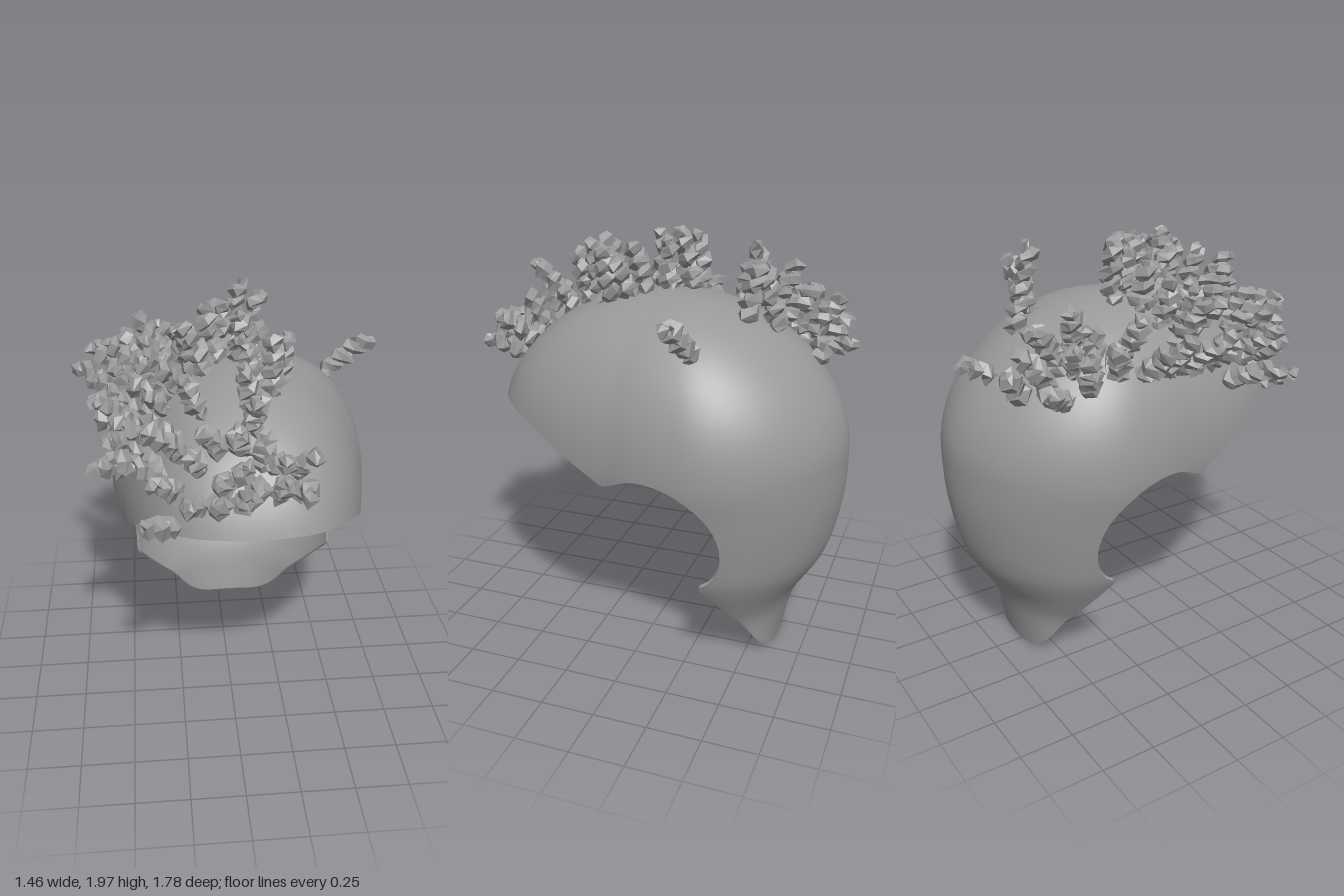
import * as THREE from 'three';

const MID = 0.07; // the head's middle plane
const CORE = new THREE.Vector3(0, 0.9, -0.1); // centre that rays are cast from

// Lower head, per height: half width, back z, widest z
const LEVELS = [0, 0.05, 0.2, 0.3, 0.4, 0.48, 0.6, 0.8, 1];
const WIDTH = [0.31, 0.31, 0.36, 0.425, 0.488, 0.53, 0.565, 0.605, 0.633];
const BACK = [-0.615, -0.625, -0.66, -0.7, -0.765, -0.81, -0.85, -0.885, -0.89];
const WIDEST = [-0.5, -0.48, -0.42, -0.385, -0.35, -0.325, -0.3, -0.29, -0.29];

// Smooth interpolation of a table over LEVELS
function smooth(table, y) {
  const n = LEVELS.length - 1;
  y = Math.min(Math.max(y, 0), 1);
  let k = 0;
  while (k < n - 1 && y > LEVELS[k + 1]) k++;
  const slope = (i) => {
    if (i === n) return 0;
    const a = Math.max(i - 1, 0), b = i + 1;
    return (table[b] - table[a]) / (LEVELS[b] - LEVELS[a]);
  };
  const h = LEVELS[k + 1] - LEVELS[k], t = (y - LEVELS[k]) / h, t2 = t * t, t3 = t2 * t;
  return (2 * t3 - 3 * t2 + 1) * table[k] + (t3 - 2 * t2 + t) * h * slope(k)
    + (3 * t2 - 2 * t3) * table[k + 1] + (t3 - t2) * h * slope(k + 1);
}

const arc = (t, p) => (t >= 1 ? 0 : Math.pow(1 - Math.pow(t, p), 1 / p));

// Half width of the head at a height and depth: tapered front, rounded back
function halfWidth(y, z) {
  let w, back, wide, front = 0.78;
  if (y > 1) {
    const t = (y - 1) / 0.69;
    if (t >= 1) return 0;
    const s = arc(t, 2.1);
    w = 0.633 * s;
    front = -0.05 + 0.83 * s;
    back = -0.05 - 0.84 * arc(t, 1.9);
    wide = -0.05 - 0.24 * s;
  } else {
    w = smooth(WIDTH, y);
    back = smooth(BACK, y);
    wide = smooth(WIDEST, y);
  }
  if (z <= wide) return w * arc((wide - z) / (wide - back), 1.85);
  const f = (z - wide) / (front - wide);
  return w * (1 - 0.2 * f * Math.min(1, f * 3)) * arc(f, 3);
}

// Point of the head's surface along a direction from CORE
function surfacePoint(dir) {
  let lo = 0, hi = 1.6;
  const p = new THREE.Vector3();
  for (let k = 0; k < 36; k++) {
    const r = (lo + hi) / 2;
    p.copy(dir).multiplyScalar(r).add(CORE);
    if (Math.abs(p.x) < halfWidth(p.y, p.z)) lo = r;
    else hi = r;
  }
  return p;
}

// Rim as seen from the side: brow, temple, ear arch, nape (y, z)
const RIM = [[1.185, 0.71], [1.17, 0.65], [1.15, 0.58], [1.13, 0.5], [1.08, 0.4], [1.02, 0.27], [0.96, 0.15], [0.93, 0.09],
  [0.945, 0.04], [0.98, -0.04], [0.99, -0.12], [0.97, -0.23], [0.92, -0.32], [0.85, -0.39], [0.76, -0.435],
  [0.66, -0.45], [0.57, -0.435], [0.51, -0.4], [0.47, -0.35], [0.41, -0.385], [0.3, -0.45], [0.2, -0.505],
  [0.1, -0.55], [0.04, -0.578], [0.005, -0.6]];

function rimDirections(count) {
  const side = RIM.map(([y, z]) => new THREE.Vector3(halfWidth(y, z), y, z));
  const other = side.map((p) => new THREE.Vector3(-p.x, p.y, p.z)).reverse();
  const loop = [new THREE.Vector3(0, 1.19, 0.745), ...side, new THREE.Vector3(0, 0, -0.613), ...other];
  const curve = new THREE.CatmullRomCurve3(loop, true, 'centripetal');
  return Array.from({ length: count }, (_, i) => curve.getPoint(i / count).sub(CORE).normalize());
}

function meshGeometry(points, index) {
  const g = new THREE.BufferGeometry().setFromPoints(points);
  g.setIndex(index);
  g.computeVertexNormals();
  return g;
}

// Thin shell: arcs from the back of the crown to the rim, outside and inside
function buildCap(material) {
  const N = 208, M = 48, pole = new THREE.Vector3(0, 0.6, -0.8);
  const outer = [], inner = [], faces = [], reversed = [];
  for (const dir of rimDirections(N)) {
    const angle = pole.angleTo(dir);
    for (let j = 0; j <= M; j++) {
      const t = 0.002 + (0.998 * j) / M;
      const d = pole.clone().multiplyScalar(Math.sin((1 - t) * angle)).addScaledVector(dir, Math.sin(t * angle)).normalize();
      const p = surfacePoint(d);
      inner.push(p.clone().addScaledVector(d, -0.014).setX(p.x - d.x * 0.014 + MID));
      outer.push(p.setX(p.x + MID));
    }
  }
  for (let i = 0; i < N; i++) {
    for (let j = 0; j < M; j++) {
      const a = i * (M + 1) + j, d = ((i + 1) % N) * (M + 1) + j;
      faces.push(a, a + 1, d + 1, a, d + 1, d);
      reversed.push(a, d + 1, a + 1, a, d, d + 1);
    }
  }
  const edge = [], edgeFaces = [];
  for (let i = 0; i < N; i++) {
    edge.push(outer[i * (M + 1) + M], inner[i * (M + 1) + M]);
    const o = 2 * i, q = 2 * ((i + 1) % N);
    edgeFaces.push(q, o, o + 1, q, o + 1, q + 1);
  }
  const cap = new THREE.Group();
  cap.name = 'scalpCap';
  const parts = { capOutside: [outer, faces], capInside: [inner, reversed], capRim: [edge, edgeFaces] };
  for (const [name, [pts, idx]] of Object.entries(parts)) {
    const mesh = new THREE.Mesh(meshGeometry(pts, idx), material);
    mesh.name = name;
    cap.add(mesh);
  }
  return cap;
}

let seed = 7;
const random = () => (seed = (seed * 16807) % 2147483647) / 2147483647;
const jitter = (a) => (random() * 2 - 1) * a;

// Curl roots (x, z): right side, middle rows, brow, parting
const ROOTS = [
  -0.22, -0.66, -0.29, -0.57, -0.38, -0.53, -0.33, -0.46, -0.4, -0.44, -0.2, -0.5, -0.36, -0.38, -0.27, -0.5, -0.26, -0.43,
  -0.42, -0.31, -0.36, -0.24, -0.44, -0.2, -0.43, -0.08, -0.42, 0.01,
  -0.4, 0.1, -0.33, 0.05, -0.26, 0, -0.17, -0.05, -0.08, -0.13, -0.05, -0.03, -0.1, 0.06, -0.22, 0.11, -0.15, 0.01, -0.03, -0.1,
  -0.28, 0.18, -0.38, 0.2, -0.28, 0.09, -0.4, 0.31, -0.33, 0.4, -0.25, 0.39, -0.15, 0.33, -0.31, 0.47, -0.22, 0.48,
  -0.16, 0.56, -0.25, 0.57, -0.08, 0.53, 0, 0.54, 0, 0.63, 0.06, 0.66, -0.06, 0.64, 0.1, 0.58, 0.15, 0.6, 0.23, 0.6,
  0.01, 0.69, -0.08, 0.68, 0.16, 0.67, 0.24, 0.65, -0.17, 0.65, -0.27, 0.63,
  0.06, -0.02, 0.1, 0.08, 0.1, 0.18, 0.08, 0.28, 0.07, 0.37, 0.07, 0.46, 0.18, 0.12, 0.2, 0.2, 0.17, 0.27,
];
// Single curls: x, z, lean x, lean z, length
const STRAYS = [[-0.04, -0.7, 0, -0.1, 0.2], [0.07, -0.54, 0, 0.75, 0.4], [0.15, -0.42, 0, 0.3, 0.27], [0.5, -0.27, 0.3, 0.25, 0.31]];

function scalpAt(x, z) {
  let lo = 1, hi = 1.7;
  for (let k = 0; k < 30; k++) {
    const y = (lo + hi) / 2;
    if (Math.abs(x - MID) < halfWidth(y, z)) lo = y;
    else hi = y;
  }
  return new THREE.Vector3(x, lo, z);
}

// Crumpled corkscrew growing out of the scalp
function buildCurl(x, z, leanX, leanZ, length, material) {
  const e = 0.02, root = scalpAt(x, z);
  const normal = new THREE.Vector3(0, scalpAt(x, z + e).y - scalpAt(x, z - e).y, 2 * e)
    .cross(new THREE.Vector3(2 * e, scalpAt(x + e, z).y - scalpAt(x - e, z).y, 0)).normalize();
  const dir = normal.add(new THREE.Vector3(leanX, 0.15, leanZ)).normalize();
  const u = new THREE.Vector3(0.3, 0.2, 1).cross(dir).normalize(), v = dir.clone().cross(u);
  const bend = new THREE.Vector3(jitter(0.05), jitter(0.03) - 0.02, jitter(0.05));
  const turns = length / 0.07, steps = Math.round(turns * 7), phase = random() * 6.28, pts = [];
  for (let k = 0; k <= steps; k++) {
    const t = k / steps, a = phase + t * turns * Math.PI * 2;
    pts.push(root.clone().addScaledVector(dir, -0.01 + length * t).addScaledVector(bend, t * t)
      .addScaledVector(u, 0.024 * Math.cos(a)).addScaledVector(v, 0.024 * Math.sin(a)));
  }
  const path = new THREE.CatmullRomCurve3(pts), rings = Math.round(turns * 5), sides = 5;
  const tube = new THREE.TubeGeometry(path, rings, 0.031, sides);
  // Uneven corners, pinched shut at both ends
  const pos = tube.attributes.position, p = new THREE.Vector3();
  for (let r = 0; r <= rings; r++) {
    const centre = path.getPointAt(r / rings);
    const scales = Array.from({ length: sides }, () => (r === 0 || r === rings ? 0 : 1 + jitter(0.4)));
    for (let k = 0; k <= sides; k++) {
      const i = r * (sides + 1) + k;
      p.fromBufferAttribute(pos, i).sub(centre).multiplyScalar(scales[k % sides]).add(centre);
      pos.setXYZ(i, p.x, p.y, p.z);
    }
  }
  const flat = tube.toNonIndexed();
  flat.computeVertexNormals();
  const mesh = new THREE.Mesh(flat, material);
  mesh.name = 'curl';
  return mesh;
}

export function createModel() {
  const grey = new THREE.MeshStandardMaterial({ color: 0x999999 });
  grey.name = 'grey';
  const model = new THREE.Group();
  model.name = 'curlyHairCap';
  const curls = new THREE.Group();
  curls.name = 'curls';
  for (let i = 0; i < ROOTS.length; i += 2) {
    const x = ROOTS[i], z = ROOTS[i + 1], length = z > 0.5 ? 0.2 : 0.28;
    curls.add(buildCurl(x, z, jitter(0.12), jitter(0.12), length + jitter(0.03), grey));
  }
  for (const s of STRAYS) curls.add(buildCurl(...s, grey));
  model.add(buildCap(grey), curls);
  return model;
}
